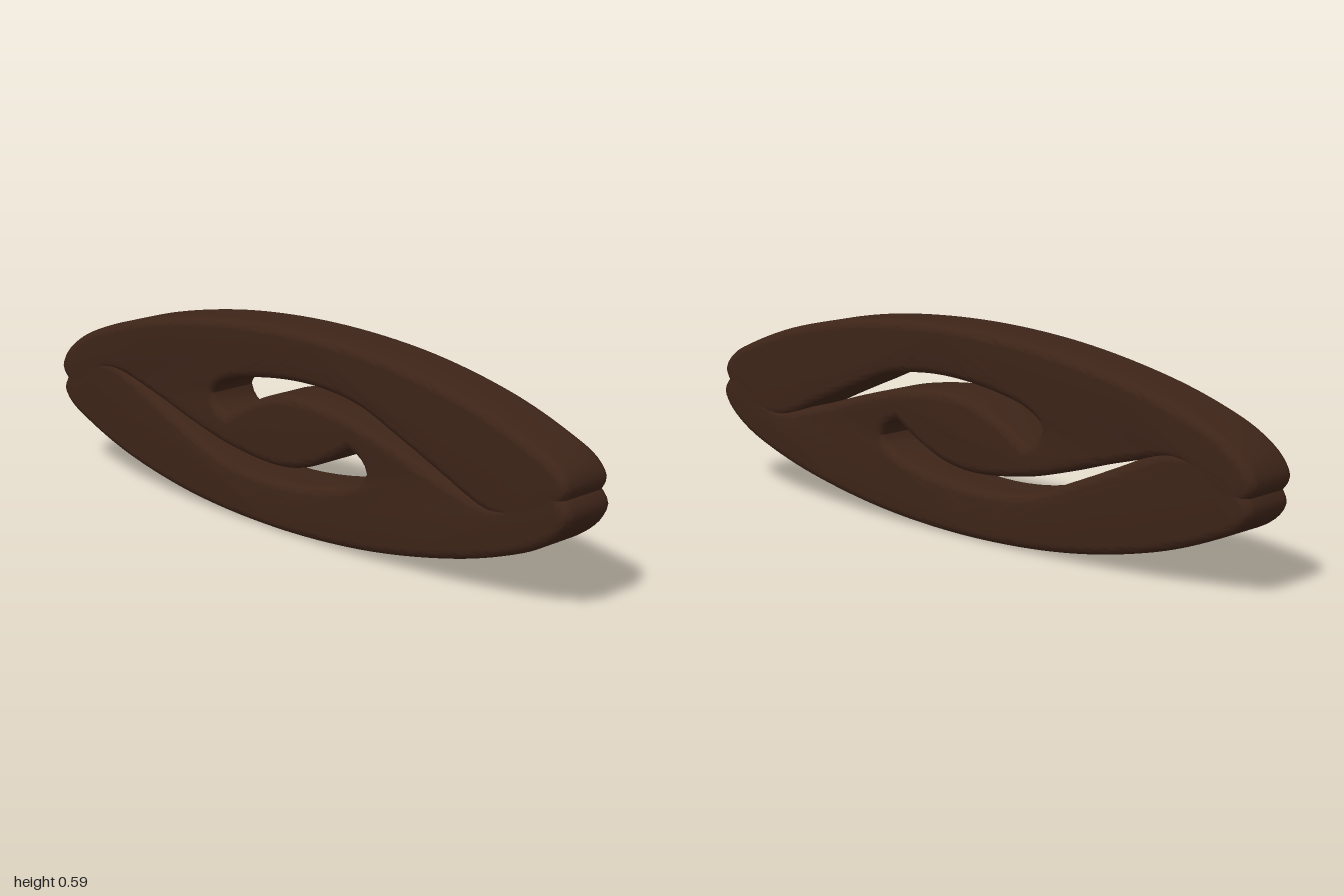
import * as THREE from 'three';
import { toCreasedNormals } from 'three/addons/utils/BufferGeometryUtils.js';

const CENTRE_Y = 0.295, DEPTH = 0.177, BEVEL = 0.026;

// Outline of one sweeping half: outer arc, right tip, slot edge, inner hook, left tip
const OUTLINE = [
  [-1, 0.305], [-0.975, 0.355], [-0.9, 0.412], [-0.78, 0.463], [-0.6, 0.515], [-0.3, 0.568],
  [0.05, 0.588], [0.4, 0.567], [0.68, 0.512], [0.86, 0.45], [0.96, 0.4], [0.992, 0.355],
  [0.98, 0.322], [0.94, 0.28], [0.85, 0.24], [0.74, 0.235], [0.66, 0.262], [0.58, 0.298],
  [0.41, 0.37], [0.275, 0.422], [0.09, 0.444], [-0.125, 0.425], [-0.26, 0.388], [-0.305, 0.35],
  [-0.285, 0.316], [-0.24, 0.295], [-0.2, 0.29], [0, 0.345], [0.2, 0.356], [0.29, 0.35],
  [0.29, 0.33], [0.24, 0.293], [0.15, 0.24], [0.05, 0.2], [-0.06, 0.187], [-0.25, 0.208],
  [-0.4, 0.246], [-0.57, 0.297], [-0.74, 0.333], [-0.82, 0.305], [-0.9, 0.25],
  [-0.95, 0.25], [-0.985, 0.275],
];

// Rounded-edge slab cut from the outline, centred on the origin
function halfGeometry() {
  const curve = new THREE.CatmullRomCurve3(
    OUTLINE.map(([x, y]) => new THREE.Vector3(x, y - CENTRE_Y, 0)), true, 'centripetal');
  const points = curve.getSpacedPoints(300).slice(0, -1).map(p => new THREE.Vector2(p.x, p.y));
  const geometry = new THREE.ExtrudeGeometry(new THREE.Shape(points), {
    depth: DEPTH - 2 * BEVEL, steps: 1,
    bevelEnabled: true, bevelThickness: BEVEL, bevelSize: BEVEL, bevelOffset: -BEVEL, bevelSegments: 5,
  });
  geometry.translate(0, 0, -DEPTH / 2 + BEVEL);
  return toCreasedNormals(geometry, 0.7);
}

export function createModel() {
  const model = new THREE.Group();
  model.name = 'interlockedOval';
  const material = new THREE.MeshStandardMaterial({ color: 0x3d2418 });
  const geometry = halfGeometry();

  // Two identical halves, the lower one turned half a revolution
  ['upperHalf', 'lowerHalf'].forEach((name, i) => {
    const half = new THREE.Mesh(geometry, material);
    half.name = name;
    half.position.y = CENTRE_Y;
    half.rotation.z = i * Math.PI;
    model.add(half);
  });
  return model;
}
